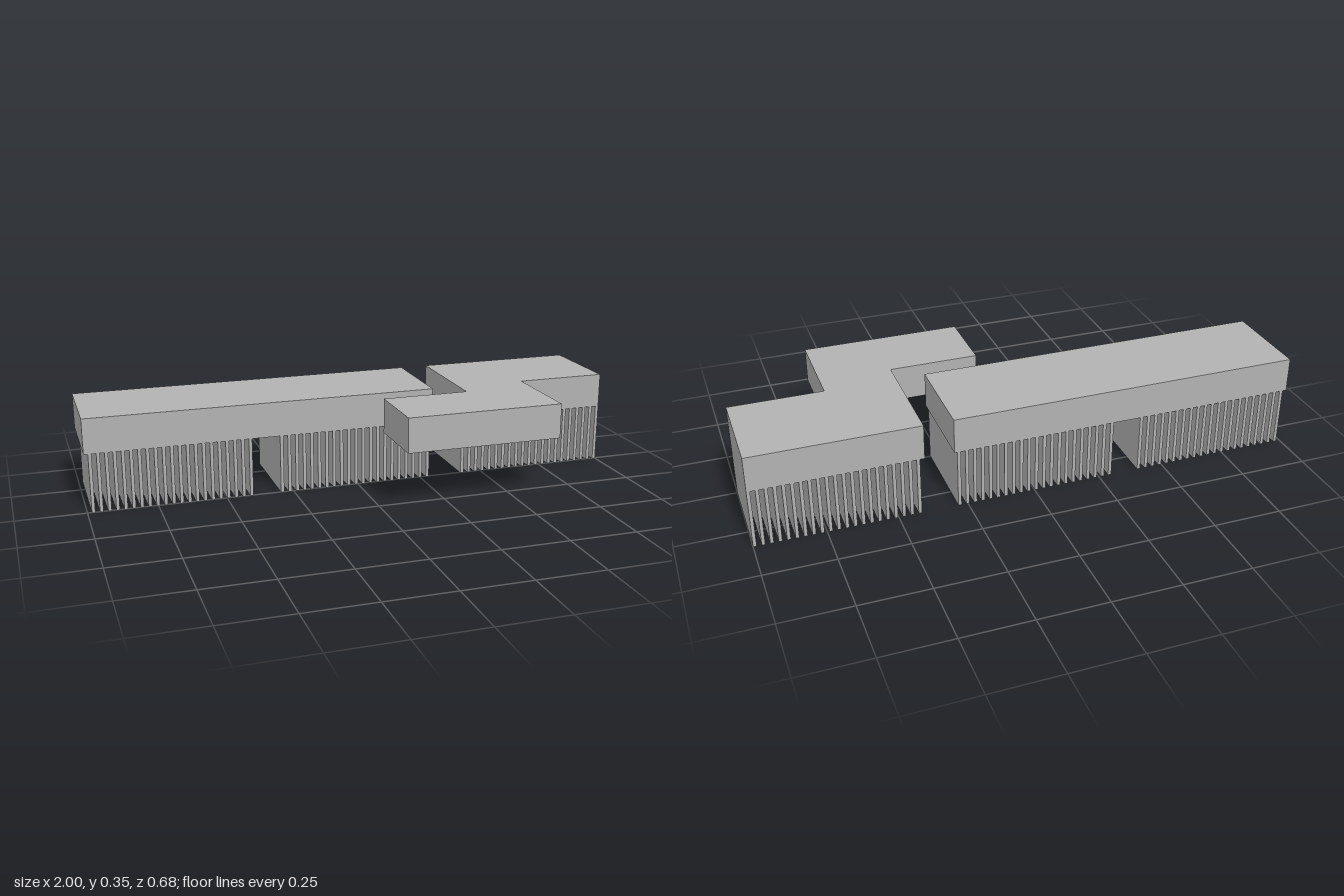
import * as THREE from 'three';

const TOP = 0.347, DECK = 0.218, BACK = -0.34, FRONT = 0.34, MID = 0.005;

export function createModel() {
  const model = new THREE.Group();
  model.name = 'buildingBlock';
  const grey = new THREE.MeshStandardMaterial({ color: 0xb2b2b2 });
  grey.name = 'concreteGrey';

  // Flat slab from a plan outline of [x, z] points
  function slab(name, outline) {
    const shape = new THREE.Shape(outline.map(([x, z]) => new THREE.Vector2(x, -z)));
    const geo = new THREE.ExtrudeGeometry(shape, { depth: TOP - DECK, bevelEnabled: false });
    geo.rotateX(-Math.PI / 2);
    const mesh = new THREE.Mesh(geo, grey);
    mesh.name = name;
    mesh.position.y = DECK;
    model.add(mesh);
  }

  // Long straight slab and stepped slab
  slab('longSlab', [[-1, MID], [0.295, MID], [0.295, BACK], [-1, BACK]]);
  slab('steppedSlab', [
    [0.075, FRONT], [0.66, FRONT], [0.66, MID], [1, MID],
    [1, BACK], [0.4, BACK], [0.4, 0.08], [0.075, 0.08],
  ]);

  // Rows of thin upright fins carrying the slabs
  const count = 21, thick = 0.012, width = 0.583;
  const pitch = (width - thick) / (count - 1);
  const finGeo = new THREE.BoxGeometry(thick, DECK, MID - BACK);
  [['rightFins', -0.985], ['middleFins', -0.298], ['leftFins', 0.417]].forEach(([name, start]) => {
    const row = new THREE.Group();
    row.name = name;
    for (let i = 0; i < count; i++) {
      const fin = new THREE.Mesh(finGeo, grey);
      fin.name = 'fin';
      fin.position.set(start + thick / 2 + i * pitch, DECK / 2, (MID + BACK) / 2);
      row.add(fin);
    }
    model.add(row);
  });
  return model;
}
